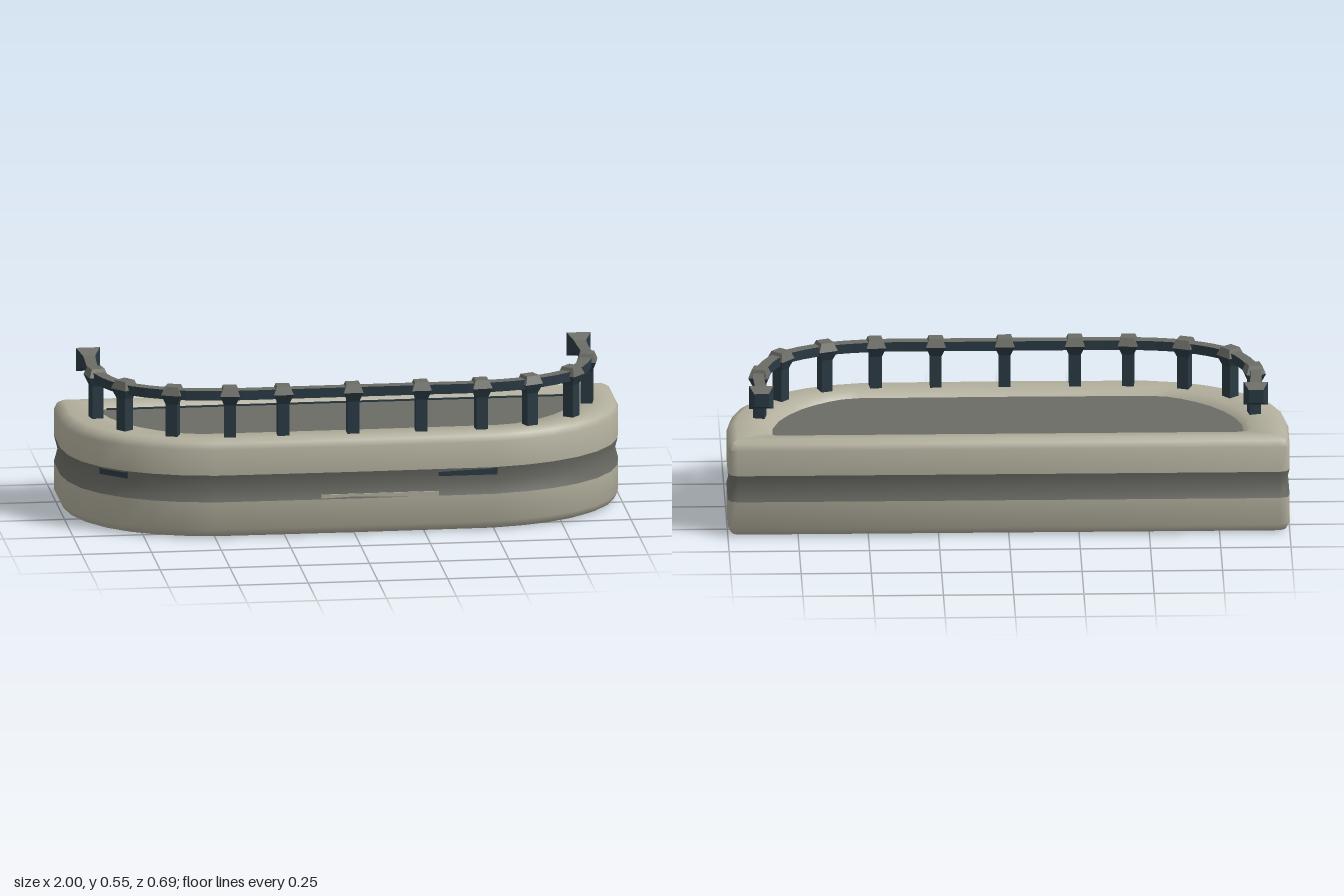
import * as THREE from 'three';
import { toCreasedNormals } from 'three/addons/utils/BufferGeometryUtils.js';

const mat = (name, color, side = THREE.FrontSide) => {
  const m = new THREE.MeshStandardMaterial({ color, side });
  m.name = name;
  return m;
};

// Mirror a right-hand half outline [x, z] into a closed loop
const mirror = (half) => [...half, ...half.slice(1, -1).reverse().map(([x, z]) => [-x, z])];

const OUTER = mirror([[0, -0.347], [0.965, -0.347], [0.99, -0.337], [1, -0.312], [1, -0.12], [0.985, -0.02],
  [0.95, 0.075], [0.89, 0.16], [0.81, 0.23], [0.72, 0.28], [0.62, 0.315], [0.5, 0.337], [0, 0.342]]);
const INNER = mirror([[0, -0.245], [0.82, -0.245], [0.835, -0.24], [0.84, -0.225], [0.835, -0.13], [0.812, -0.05],
  [0.775, 0.02], [0.725, 0.085], [0.675, 0.13], [0.625, 0.165], [0.58, 0.188], [0.52, 0.2], [0, 0.203]]);

// A horizontal ring: an outline moved inwards by inset, at height y
function ring(outline, inset, y) {
  const n = outline.length;
  return outline.map(([x, z], i) => {
    const a = outline[(i + n - 1) % n], b = outline[(i + 1) % n];
    const dx = b[0] - a[0], dz = b[1] - a[1], l = Math.hypot(dx, dz);
    return new THREE.Vector3(x - (dz / l) * inset, y, z + (dx / l) * inset);
  });
}

// Skin a list of closed rings; four-sided tubes can be capped
function loft(rings, capped = false) {
  const n = rings[0].length, pos = rings.flat().flatMap((p) => [p.x, p.y, p.z]), idx = [];
  for (let i = 0; i < rings.length - 1; i++) {
    for (let j = 0; j < n; j++) {
      const a = i * n + j, b = i * n + (j + 1) % n, c = b + n, d = a + n;
      idx.push(a, d, b, d, c, b);
    }
  }
  if (capped) {
    const e = (rings.length - 1) * n;
    idx.push(0, 1, 2, 0, 2, 3, e, e + 2, e + 1, e, e + 3, e + 2);
  }
  const g = new THREE.BufferGeometry();
  g.setAttribute('position', new THREE.Float32BufferAttribute(pos, 3));
  g.setIndex(idx);
  return g;
}

// Flat-shaded copy with upward faces in material group 1
function topSplit(geometry) {
  const g = geometry.toNonIndexed();
  g.computeVertexNormals();
  const ny = g.attributes.normal;
  for (let i = 0; i < ny.count; i += 3) g.addGroup(i, 3, ny.getY(i) > 0.3 ? 1 : 0);
  return g;
}

export function createModel() {
  const model = new THREE.Group();
  model.name = 'balcony';
  const stone = mat('paleStone', 0xb2af9d);
  const grey = mat('darkStone', 0x6c6c66);
  const iron = mat('blueIron', 0x2a3a43);
  const add = (name, geometry, material, parent = model) => {
    const m = new THREE.Mesh(geometry, material);
    m.name = name;
    parent.add(m);
    return m;
  };
  const smooth = (rings) => toCreasedNormals(loft(rings), 0.85);

  // Rounded stone slabs with a dark groove between them
  add('lowerSlab', smooth([
    ring(INNER, 0, 0.026), ring(INNER, -0.02, 0.003), ring(OUTER, 0.035, 0),
    ring(OUTER, 0.012, 0.01), ring(OUTER, 0, 0.033), ring(OUTER, 0, 0.133)]), stone);
  add('groove', smooth([ring(OUTER, 0, 0.133), ring(OUTER, 0.013, 0.18), ring(OUTER, 0, 0.231)]), grey);
  add('upperSlab', smooth([
    ring(OUTER, 0, 0.231), ring(OUTER, 0, 0.325), ring(OUTER, 0.01, 0.346), ring(OUTER, 0.035, 0.358),
    ring(INNER, -0.022, 0.356), ring(INNER, 0, 0.335)]), stone);

  // Recessed floor and underside panels
  const panel = (sign) => new THREE.ShapeGeometry(
    new THREE.Shape(INNER.map(([x, z]) => new THREE.Vector2(x, -sign * z)))).rotateX(-sign * Math.PI / 2);
  add('floor', panel(1), grey).position.y = 0.335;
  add('underside', panel(-1), grey).position.y = 0.026;
  add('floorBackTrim', new THREE.BoxGeometry(1.64, 0.008, 0.009), iron).position.set(0, 0.336, -0.239);

  // Worn patches in the groove
  const patch = (name, w, h, x, y, z, turn, m) => {
    const p = add(name, new THREE.BoxGeometry(w, h, 0.008), m);
    p.position.set(x, y, z);
    p.rotation.y = turn;
  };
  patch('groovePatchLeft', 0.21, 0.026, 0.405, 0.217, 0.332, 0, iron);
  patch('groovePatchRight', 0.12, 0.026, -0.846, 0.217, 0.191, -0.72, iron);
  patch('grooveChip', 0.42, 0.018, 0.09, 0.141, 0.336, 0, stone);

  // Railing posts: [x, z]
  const posts = [[-0.88, -0.058], [-0.8, 0.13], [-0.64, 0.23], [-0.44, 0.265], [-0.25, 0.267], [0, 0.267],
    [0.245, 0.267], [0.46, 0.265], [0.64, 0.23], [0.8, 0.13], [0.88, -0.058]];
  const railing = new THREE.Group();
  railing.name = 'railing';
  model.add(railing);
  const metal = [iron, grey];

  const path = [[-0.88, -0.255], ...posts, [0.88, -0.255]].map(([x, z]) => new THREE.Vector3(x, 0, z));
  const curve = new THREE.CatmullRomCurve3(path, false, 'centripetal');

  const square = (r, y) => [[r, -r], [r, r], [-r, r], [-r, -r]].map(([x, z]) => new THREE.Vector3(x, y, z));
  const postGeometry = topSplit(loft([square(0.021, 0.33), square(0.021, 0.475), square(0.035, 0.51),
    square(0.024, 0.54)], true));
  posts.forEach(([x, z], i) => {
    const t = curve.getTangent((i + 1) / (path.length - 1));
    const p = add('post', postGeometry, metal, railing);
    p.position.set(x, 0, z);
    p.rotation.y = Math.atan2(t.x, t.z);
  });

  // Handrail swept round the posts, flaring into a faceted knob at each end
  const section = (p, t, w, low, high) => [[w, high], [w, low], [-w, low], [-w, high]]
    .map(([s, y]) => new THREE.Vector3(p.x + t.z * s, y, p.z - t.x * s));
  const rail = [];
  const knob = [[-0.335, 0.026, 0.487, 0.535], [-0.295, 0.043, 0.467, 0.552], [-0.257, 0.022, 0.487, 0.532]];
  const knobRings = (x, dz, list) => list.forEach(([z, w, low, high]) =>
    rail.push(section({ x, z }, { x: 0, z: dz }, w, low, high)));
  knobRings(-0.88, 1, knob);
  const steps = 48;
  for (let i = 1; i < steps; i++) {
    const u = i / steps;
    rail.push(section(curve.getPoint(u), curve.getTangent(u), 0.02, 0.493, 0.528));
  }
  knobRings(0.88, -1, [...knob].reverse());
  add('handrail', topSplit(loft(rail, true)), metal, railing);

  return model;
}
